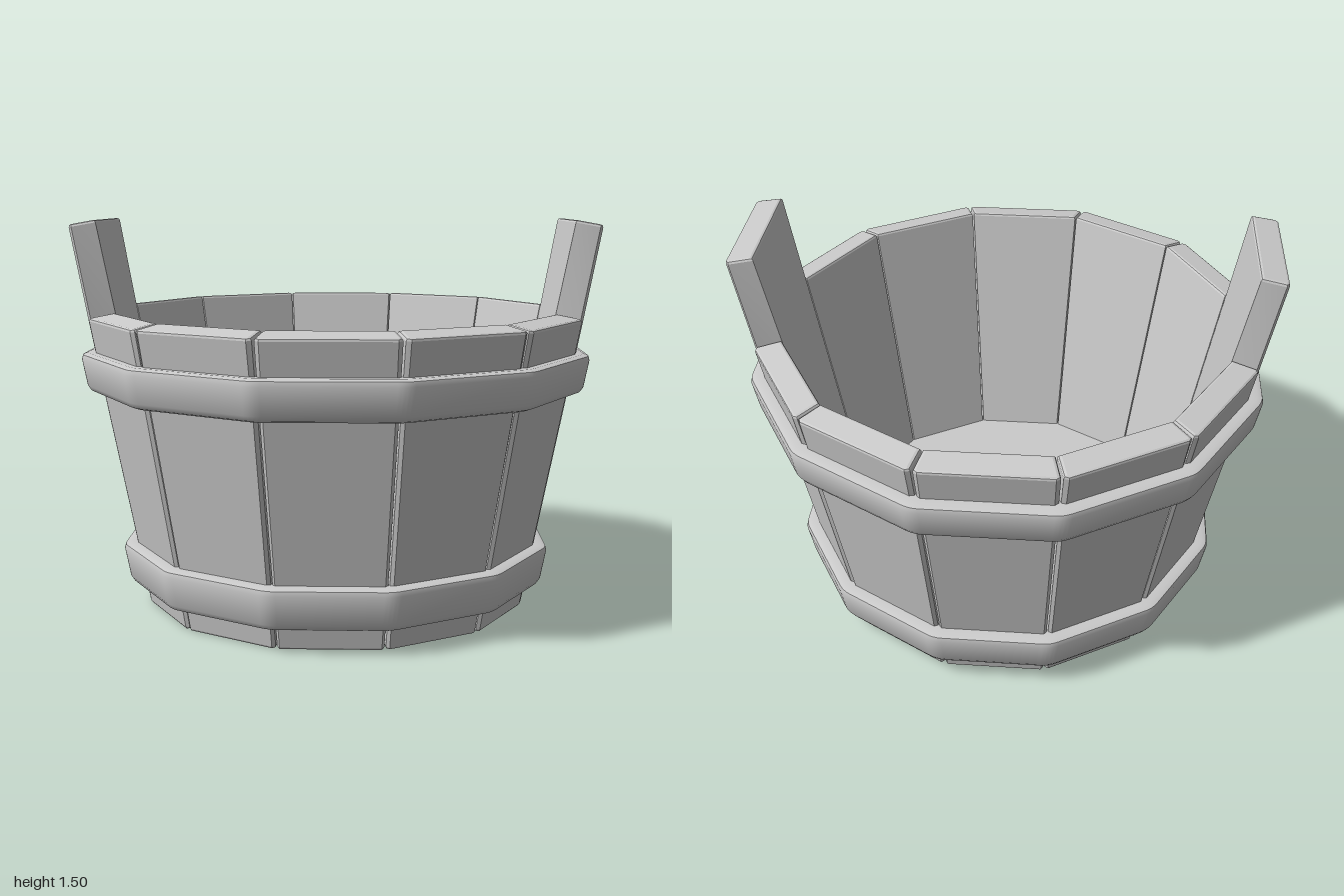
import * as THREE from 'three';
import { toCreasedNormals } from 'three/addons/utils/BufferGeometryUtils.js';

const SIDES = 12;
const TAN = Math.tan(Math.PI / SIDES);
const COS = Math.cos(Math.PI / SIDES);
const OUTER = 0.73, INNER = 0.627, SLOPE = 0.183; // wall at y = 0 and its flare

const material = new THREE.MeshStandardMaterial({ color: 0xcccccc });

// Mitred plank with chamfered edges, flared outwards with height
function staveGeometry(height) {
  const c = 0.012, wo = OUTER * TAN, wi = INNER * TAN;
  const section = new THREE.Shape([
    [INNER, -wi], [OUTER - c, -wo + c * TAN], [OUTER, -wo + c],
    [OUTER, wo - c], [OUTER - c, wo - c * TAN], [INNER, wi],
  ].map(([x, y]) => new THREE.Vector2(x, y)));
  const bevel = 0.01;
  const geo = new THREE.ExtrudeGeometry(section, {
    depth: height - 2 * bevel, steps: 4, bevelEnabled: true, bevelSegments: 2,
    bevelSize: bevel, bevelThickness: bevel, bevelOffset: -bevel,
  });
  geo.translate(0, 0, bevel);
  geo.rotateX(-Math.PI / 2);
  const p = geo.attributes.position;
  for (let i = 0; i < p.count; i++) {
    const x = p.getX(i), y = p.getY(i);
    const r = x + SLOPE * y;
    const u = p.getZ(i) / (x * TAN);
    // the ends are square to the tilted plank
    p.setXYZ(i, r, y + SLOPE * (OUTER - x), u * Math.min(0.243, r * TAN - 0.003));
  }
  geo.computeVertexNormals();
  return toCreasedNormals(geo, 0.3);
}

// Twelve-sided band with rounded corners; profile is a closed loop of [apothem, y]
function hoopGeometry(profile) {
  const fillet = 0.12, arc = 4, pos = [], index = [];
  const ring = SIDES * (arc + 1), n = profile.length;
  for (const [r, y] of profile) {
    for (let k = 0; k < SIDES; k++) {
      const a = (k + 0.5) * 2 * Math.PI / SIDES;
      const d = (r - fillet) / COS;
      for (let j = 0; j <= arc; j++) {
        const b = a + (j / arc - 0.5) * 2 * Math.PI / SIDES;
        pos.push(d * Math.cos(a) + fillet * Math.cos(b), y, -d * Math.sin(a) - fillet * Math.sin(b));
      }
    }
  }
  for (let i = 0; i < n; i++) {
    for (let j = 0; j < ring; j++) {
      const i2 = (i + 1) % n, j2 = (j + 1) % ring;
      const a = i * ring + j, b = i * ring + j2, c = i2 * ring + j2, d = i2 * ring + j;
      index.push(a, b, c, a, c, d);
    }
  }
  const geo = new THREE.BufferGeometry();
  geo.setAttribute('position', new THREE.Float32BufferAttribute(pos, 3));
  geo.setIndex(index);
  return toCreasedNormals(geo, 0.7);
}

// Hoop cross-section hugging the flared wall, rounded on its outer edges
function hoopProfile(y0, y1) {
  const wall = y => OUTER + SLOPE * y;
  const t = 0.054, e = 0.025;
  return [
    [wall(y0) - 0.02, y0], [wall(y0) + t - e, y0], [wall(y0) + t - 0.007, y0 + 0.007],
    [wall(y0 + e) + t, y0 + e], [wall(y1 - e) + t, y1 - e],
    [wall(y1) + t - 0.009, y1 - 0.007], [wall(y1) + t - e - 0.003, y1], [wall(y1) - 0.02, y1],
  ];
}

export function createModel() {
  const group = new THREE.Group();
  const add = (name, geometry) => {
    const mesh = new THREE.Mesh(geometry, material);
    mesh.name = name;
    group.add(mesh);
    return mesh;
  };

  // Staves; the two on the x axis rise to form the handles
  const shortStave = staveGeometry(1.13), tallStave = staveGeometry(1.48);
  for (let k = 0; k < SIDES; k++) {
    const handle = k % 6 === 0;
    const stave = add(handle ? 'handleStave' : 'stave', handle ? tallStave : shortStave);
    stave.rotation.y = k * 2 * Math.PI / SIDES;
  }

  // Floor set slightly above the stave ends
  const floorTop = 0.16, floorBottom = 0.04;
  const floor = add('floor', new THREE.CylinderGeometry(
    (INNER + SLOPE * floorTop + 0.004) / COS, (INNER + SLOPE * floorBottom + 0.004) / COS,
    floorTop - floorBottom, SIDES, 1, false, Math.PI / SIDES).toNonIndexed());
  floor.geometry.computeVertexNormals();
  floor.position.y = (floorTop + floorBottom) / 2;

  // Hoops
  add('lowerHoop', hoopGeometry(hoopProfile(0.09, 0.25)));
  add('upperHoop', hoopGeometry(hoopProfile(0.85, 1.0)));
  return group;
}
